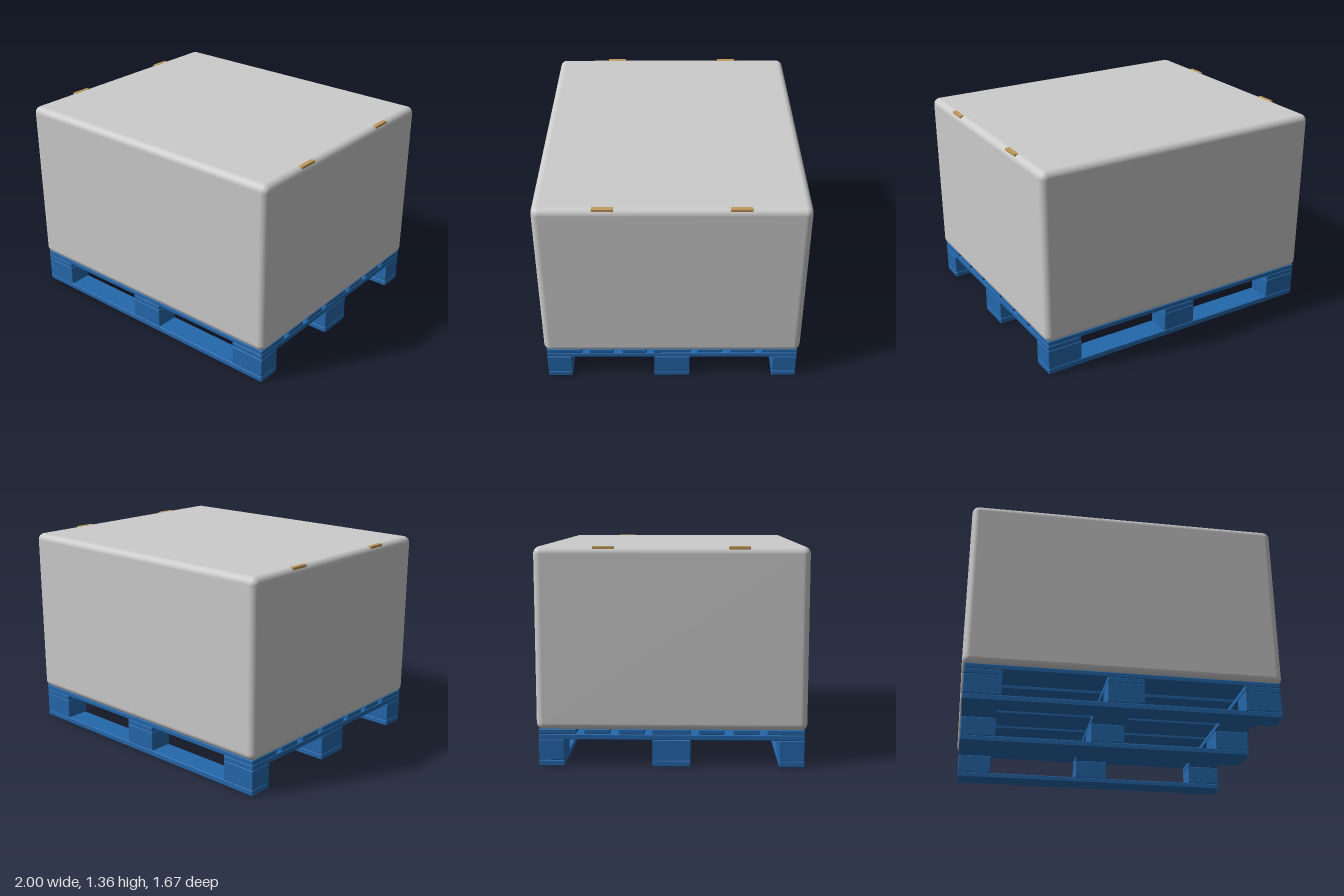
import * as THREE from 'three';
import { RoundedBoxGeometry } from 'three/addons/geometries/RoundedBoxGeometry.js';

export function createModel() {
  const model = new THREE.Group();
  model.name = 'palletWithCarton';
  const grey = new THREE.MeshStandardMaterial({ color: 0xcccccc });
  const blue = new THREE.MeshStandardMaterial({ color: 0x2468ac });
  const tan = new THREE.MeshStandardMaterial({ color: 0xc09a5c });

  // Softly rounded block given by its [min, max] range on each axis
  function block(parent, name, material, [x0, x1], [y0, y1], [z0, z1], radius, segments = 2) {
    const geometry = new RoundedBoxGeometry(x1 - x0, y1 - y0, z1 - z0, segments, radius);
    const mesh = new THREE.Mesh(geometry, material);
    mesh.name = name;
    mesh.position.set((x0 + x1) / 2, (y0 + y1) / 2, (z0 + z1) / 2);
    parent.add(mesh);
  }

  const pallet = new THREE.Group();
  pallet.name = 'pallet';
  model.add(pallet);
  const fullX = [-0.985, 0.985], fullZ = [-0.82, 0.82];
  const columns = [[-0.985, -0.75], [-0.117, 0.117], [0.75, 0.985]];
  const rows = [[-0.82, -0.662], [-0.117, 0.117], [0.662, 0.82]];
  const deck = [[-0.82, -0.587], [-0.54, -0.38], [-0.327, -0.165], [-0.12, 0.12],
    [0.165, 0.327], [0.38, 0.54], [0.587, 0.82]];

  // Runners on the ground, with three blocks on each
  for (const z of rows) {
    block(pallet, 'bottomRunner', blue, fullX, [0, 0.037], z, 0.006);
    for (const x of columns) block(pallet, 'spacerBlock', blue, x, [0.037, 0.167], z, 0.006);
  }
  // Cross boards over the blocks, then the deck boards
  for (const x of columns) block(pallet, 'crossBoard', blue, x, [0.167, 0.202], fullZ, 0.006);
  for (const z of deck) block(pallet, 'deckBoard', blue, fullX, [0.202, 0.234], z, 0.006);

  // Carton resting on the deck
  block(model, 'carton', grey, [-1, 1], [0.228, 1.357], [-0.835, 0.835], 0.045, 6);

  // Edge clips let into the upper side edges
  for (const side of [-1, 1]) {
    for (const z of [-0.41, 0.41]) {
      const x = side > 0 ? [0.963, 0.992] : [-0.992, -0.963];
      block(model, 'edgeClip', tan, x, [1.34, 1.358], [z - 0.065, z + 0.065], 0.003);
    }
  }
  return model;
}
